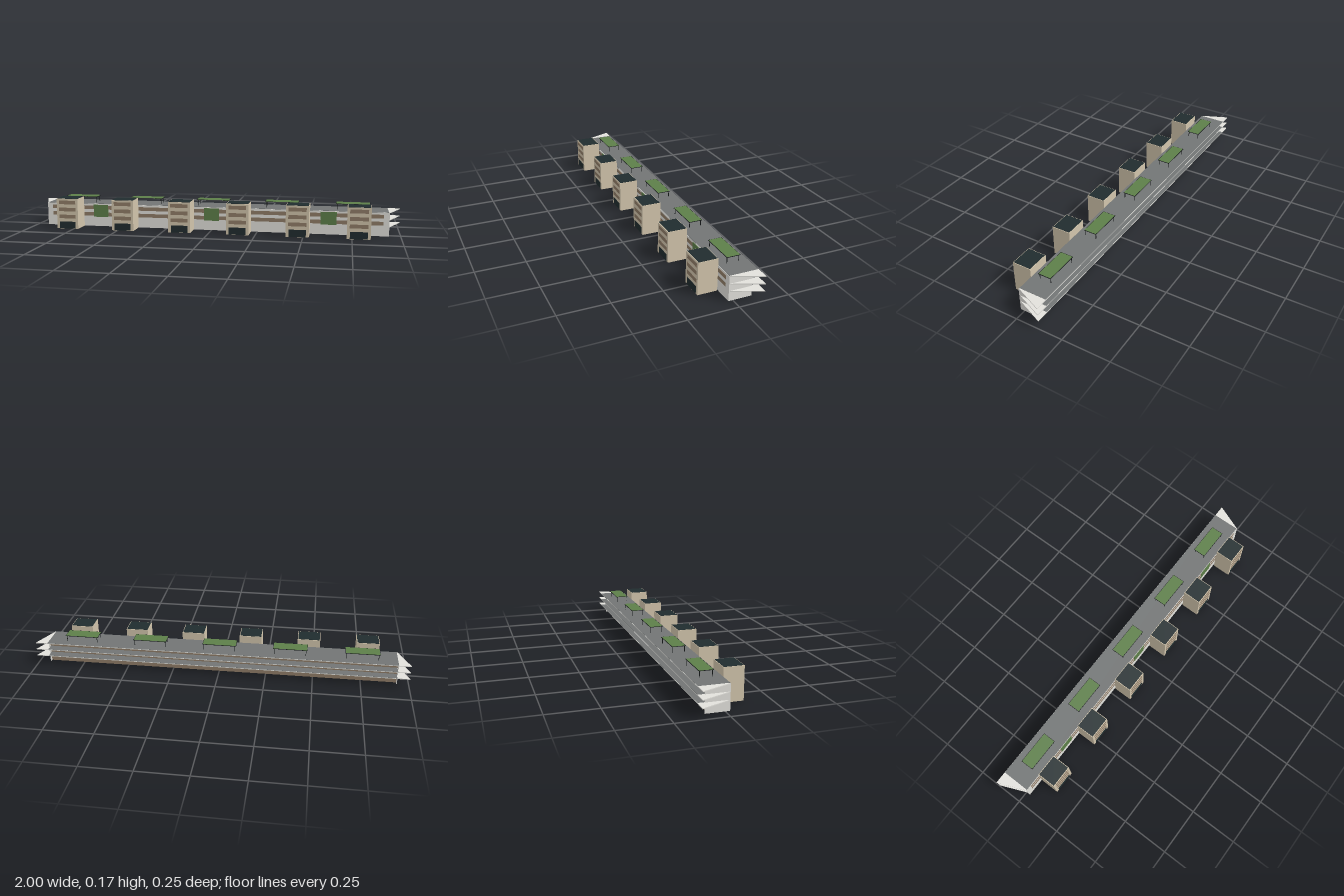
import * as THREE from 'three';

const mat = (name, color) => {
  const m = new THREE.MeshStandardMaterial({ color });
  m.name = name;
  return m;
};

export function createModel() {
  const root = new THREE.Group();
  const concrete = mat('concrete', 0xe2e1dc);
  const slate = mat('slate grey', 0x727575);
  const tan = mat('tan render', 0xd2c5ac);
  const brown = mat('brown window band', 0x917d68);
  const dark = mat('dark glass', 0x202c2e);
  const green = mat('planting green', 0x5d7f49);
  const black = mat('black steel', 0x16191a);

  // box given by its minimum and maximum corners
  const box = (parent, name, m, [x0, y0, z0], [x1, y1, z1]) => {
    const mesh = new THREE.Mesh(new THREE.BoxGeometry(x1 - x0, y1 - y0, z1 - z0), m);
    mesh.position.set((x0 + x1) / 2, (y0 + y1) / 2, (z0 + z1) / 2);
    mesh.name = name;
    parent.add(mesh);
  };

  // long block, open underneath, with end walls and a recessed rear facade
  const block = new THREE.Group();
  block.name = 'mainBlock';
  root.add(block);
  box(block, 'frontWall', concrete, [-0.94, 0, 0.02], [0.94, 0.125, 0.022]);
  box(block, 'rearFacade', brown, [-0.937, 0, -0.08], [0.937, 0.122, -0.079]);
  for (const s of [-1, 1]) {
    box(block, 'endWall', concrete, [s * 0.9385 - 0.0015, 0, -0.095], [s * 0.9385 + 0.0015, 0.124, 0.02]);
  }
  for (const y of [0.067, 0.104]) {
    box(block, 'frontWindowBand', brown, [-0.91, y - 0.01, 0.0215], [0.91, y + 0.01, 0.0228]);
  }
  for (const x of [-0.627, 0, 0.627]) {
    box(block, 'greenWall', green, [x - 0.042, 0.052, 0.0215], [x + 0.042, 0.12, 0.0242]);
  }

  // balcony decks: flared concrete slab with a grey floor finish
  const outline = new THREE.Shape([
    new THREE.Vector2(-0.94, -0.017),
    new THREE.Vector2(0.94, -0.017),
    new THREE.Vector2(1, 0.126),
    new THREE.Vector2(-1, 0.126),
  ]);
  const slab = new THREE.ExtrudeGeometry(outline, { depth: 0.004, bevelEnabled: false });
  slab.rotateX(-Math.PI / 2);
  [0.047, 0.084, 0.122].forEach((y, i) => {
    const deck = new THREE.Group();
    deck.name = i === 2 ? 'roofDeck' : 'balconyDeck';
    deck.position.y = y;
    const slabMesh = new THREE.Mesh(slab, concrete);
    slabMesh.name = 'slab';
    deck.add(slabMesh);
    box(deck, 'floorFinish', slate, [-0.935, 0.0035, -0.1255], [0.935, 0.0045, i === 2 ? 0.021 : 0.017]);
    root.add(deck);
  });

  // roof pergolas
  for (let i = -2; i <= 2; i++) {
    const pergola = new THREE.Group();
    pergola.name = 'pergola';
    pergola.position.x = i * 0.376;
    box(pergola, 'frame', black, [-0.09, 0.157, -0.087], [0.09, 0.1592, -0.017]);
    box(pergola, 'plantedTop', green, [-0.088, 0.159, -0.085], [0.088, 0.1597, -0.019]);
    for (const x of [-0.083, 0.083]) {
      for (const z of [-0.082, -0.022]) {
        box(pergola, 'post', black, [x - 0.0012, 0.125, z - 0.0012], [x + 0.0012, 0.158, z + 0.0012]);
      }
    }
    root.add(pergola);
  }

  // six front towers, open underneath
  for (let i = 0; i < 6; i++) {
    const tower = new THREE.Group();
    tower.name = 'tower';
    tower.position.x = (i - 2.5) * 0.3135;
    for (const s of [-1, 1]) {
      box(tower, 'sideWall', tan, [s * 0.0595 - 0.0005, 0, 0.026], [s * 0.0595 + 0.0005, 0.165, 0.126]);
    }
    box(tower, 'backWall', tan, [-0.059, 0, 0.026], [0.059, 0.165, 0.027]);
    box(tower, 'frontWall', tan, [-0.059, 0, 0.125], [0.059, 0.165, 0.126]);
    box(tower, 'roofSlab', tan, [-0.059, 0.163, 0.027], [0.059, 0.165, 0.125]);
    box(tower, 'roofPanel', dark, [-0.057, 0.1645, 0.029], [0.057, 0.1662, 0.123]);
    box(tower, 'entrance', dark, [-0.045, 0.001, 0.1245], [0.045, 0.039, 0.1267]);
    for (const y of [0.067, 0.106, 0.145]) {
      box(tower, 'windowBand', brown, [-0.047, y - 0.01, 0.1245], [0.047, y + 0.01, 0.1266]);
    }
    root.add(tower);
  }
  return root;
}
